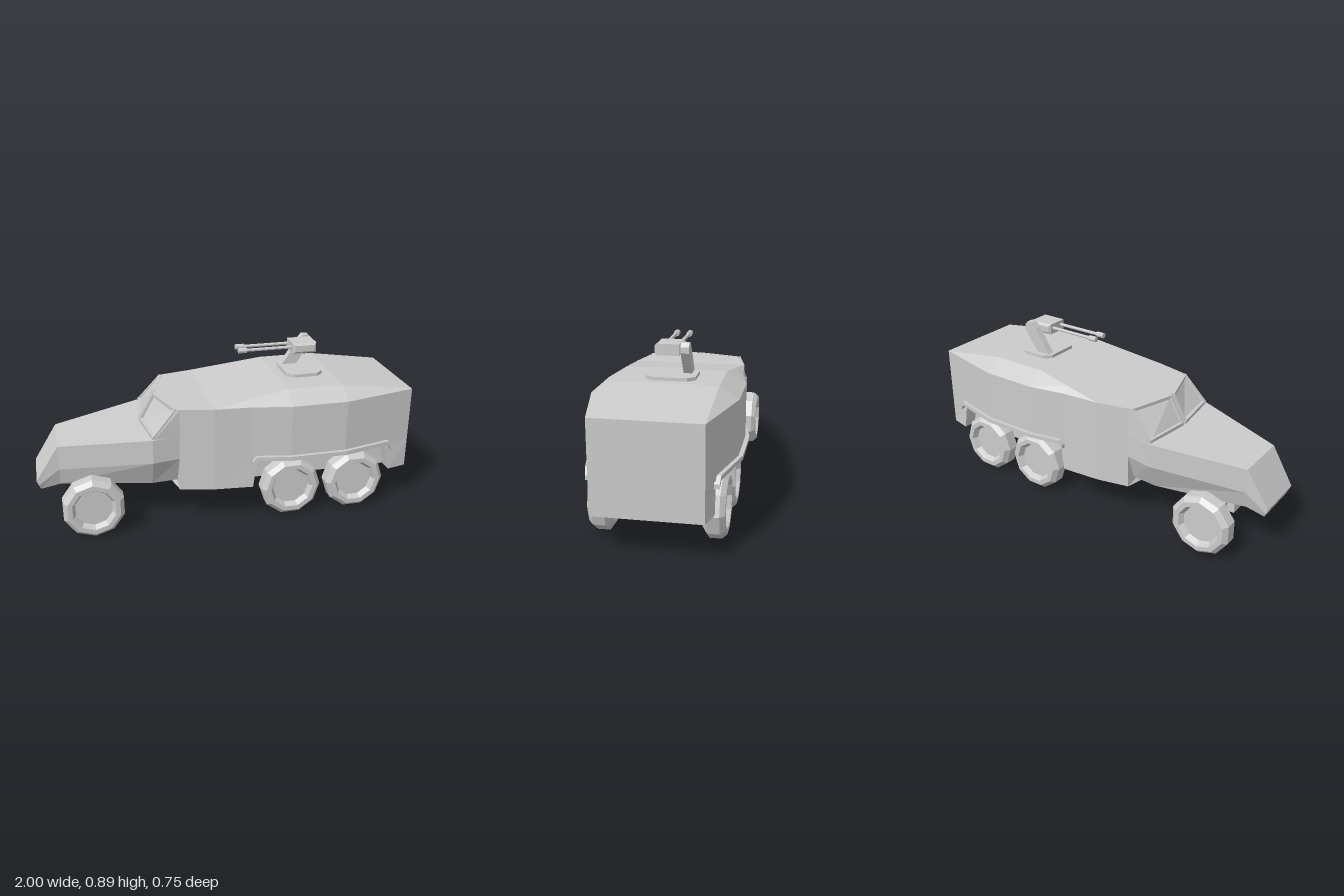
import * as THREE from 'three';

const mat = new THREE.MeshStandardMaterial({ color: 0xcccccc, flatShading: true, side: THREE.DoubleSide });

function add(parent, name, geo) {
  const m = new THREE.Mesh(geo, mat);
  m.name = name;
  parent.add(m);
  return m;
}

// Closes a half outline (centre to centre) by mirroring it across z = 0
const mirrorZ = half => [...half, ...half.slice(1, -1).reverse().map(([x, y, z]) => [x, y, -z])];

// Skin over equal-length rings of [x, y, z] points, capped at both ends
function loft(rings) {
  const n = rings[0].length, pos = rings.flat(2), idx = [];
  for (let r = 0; r < rings.length - 1; r++) {
    for (let i = 0; i < n; i++) {
      const a = r * n + i, b = r * n + (i + 1) % n;
      idx.push(a, b, b + n, a, b + n, a + n);
    }
  }
  [0, rings.length - 1].forEach((r, end) => {
    const c = pos.length / 3;
    for (let k = 0; k < 3; k++) pos.push(rings[r].reduce((s, p) => s + p[k], 0) / n);
    for (let i = 0; i < n; i++) {
      const a = r * n + i, b = r * n + (i + 1) % n;
      idx.push(...(end ? [c, a, b] : [c, b, a]));
    }
  });
  // Turn the skin outward if its volume is negative
  const P = i => new THREE.Vector3().fromArray(pos, i * 3);
  let vol = 0;
  for (let i = 0; i < idx.length; i += 3) vol += P(idx[i]).dot(P(idx[i + 1]).cross(P(idx[i + 2])));
  if (vol < 0) idx.reverse();
  const g = new THREE.BufferGeometry();
  g.setAttribute('position', new THREE.Float32BufferAttribute(pos, 3));
  g.setIndex(idx);
  g.computeVertexNormals();
  return g;
}

// Square bar between two points
function bar(parent, name, a, b, t) {
  const A = new THREE.Vector3(...a), B = new THREE.Vector3(...b);
  const m = add(parent, name, new THREE.BoxGeometry(t, t, A.distanceTo(B) + t * 0.6));
  m.position.copy(A).add(B).multiplyScalar(0.5);
  m.lookAt(B);
}

// Flat outline in x-y, given thickness along z
function plate(points, z0, depth, bevel = 0) {
  const s = new THREE.Shape(points.map(p => new THREE.Vector2(...p)));
  return new THREE.ExtrudeGeometry(s, {
    depth: depth - 2 * bevel, bevelEnabled: bevel > 0, bevelSize: bevel, bevelThickness: bevel, bevelOffset: -bevel, bevelSegments: 1
  }).translate(0, 0, z0 + bevel);
}

function addHull(g) {
  // x, half width, roof height, roof half width
  const stations = [
    [-0.27, 0.262, 0.655, 0.262], [-0.1, 0.3, 0.655, 0.3], [0.1, 0.317, 0.685, 0.28],
    [0.3, 0.355, 0.715, 0.26], [0.6, 0.355, 0.715, 0.26], [1, 0.26, 0.655, 0.26]
  ];
  add(g, 'upperHull', loft(stations.map(([x, w, y, rw], i) => {
    const low = i ? x : -0.33, high = i ? x : -0.355;
    return mirrorZ([[low, 0.36, 0], [x, 0.36, w], [x, 0.655, w], [x, y, rw], [high, y, 0]]);
  })));
  // Lower hull in front of, between and behind the rear wheel wells
  const low = (xb, xt, w, cx = xb) => mirrorZ([[cx, 0.2, 0], [xb, 0.2, w], [xt, 0.36, w], [cx === xb ? xt : cx, 0.36, 0]]);
  add(g, 'lowerHullFront', loft([low(-0.27, -0.27, 0.262, -0.33), low(-0.1, -0.1, 0.3), low(0.11, 0.13, 0.318)]));
  add(g, 'lowerHullRear', loft([low(0.89, 0.86, 0.286), low(1, 1, 0.26)]));
  add(g, 'lowerHullCentre', new THREE.BoxGeometry(0.8, 0.16, 0.42)).position.set(0.5, 0.28, 0);

  // Strip fenders above the wheel wells
  for (const s of [1, -1]) {
    const path = [[0.105, 0.335, 0.317], [0.125, 0.36, 0.321], [0.3, 0.36, 0.355], [0.6, 0.36, 0.355], [0.87, 0.36, 0.291], [0.89, 0.325, 0.287]];
    add(g, 'rearFender', loft(path.map(([x, y, w]) =>
      [[x, y, s * (w - 0.03)], [x, y, s * (w + 0.02)], [x, y + 0.022, s * (w + 0.02)], [x, y + 0.022, s * (w - 0.03)]])));
  }
}

function addHoodAndCab(g) {
  const section = (x, yb, wb, yc, wc, yt) =>
    mirrorZ([[x, yb, 0], [x, yb, wb], [x, yc, wc], [x, yt, wc], [x, yt, 0]]);
  add(g, 'hood', loft([
    mirrorZ([[-0.98, 0.22, 0], [-0.98, 0.22, 0.125], [-0.99, 0.245, 0.135], [-1, 0.27, 0.135], [-1, 0.27, 0]]),
    section(-0.88, 0.235, 0.12, 0.33, 0.145, 0.46),
    section(-0.41, 0.235, 0.22, 0.38, 0.285, 0.508),
    section(-0.27, 0.235, 0.21, 0.38, 0.262, 0.512)
  ]));
  add(g, 'cab', loft([
    mirrorZ([[-0.44, 0.5, 0], [-0.41, 0.5, 0.28], [-0.26, 0.5, 0.262], [-0.26, 0.5, 0]]),
    mirrorZ([[-0.355, 0.655, 0], [-0.28, 0.655, 0.26], [-0.26, 0.655, 0.262], [-0.26, 0.655, 0]])
  ]));
  // Raised frames around the two halves of the split windshield
  for (const s of [1, -1]) {
    const c = [[-0.434, 0.515, 0.012], [-0.402, 0.515, 0.268], [-0.285, 0.648, 0.25], [-0.358, 0.648, 0.012]]
      .map(([x, y, z]) => [x, y, s * z]);
    c.forEach((p, i) => bar(g, 'windshieldFrame', p, c[(i + 1) % 4], 0.018));
  }
}

function addRunningGear(g) {
  const profile = [[0, 0.215], [0.125, 0.215], [0.163, 0.24], [0.163, 0.3], [0.14, 0.324], [0.115, 0.324], [0.098, 0.295], [0, 0.295]]
    .map(p => new THREE.Vector2(...p));
  for (const x of [-0.725, 0.325, 0.685]) {
    const phase = x < 0 ? 0 : Math.PI / 10;
    for (const turn of [0, Math.PI]) {
      const wheel = add(g, x < 0 ? 'frontWheel' : 'rearWheel', new THREE.LatheGeometry(profile, 10, phase).rotateX(Math.PI / 2));
      wheel.position.set(x, 0.168, 0);
      wheel.rotation.y = turn;
    }
    add(g, 'axle', new THREE.CylinderGeometry(0.027, 0.027, 0.44, 6).rotateX(Math.PI / 2)).position.set(x, 0.17, 0);
  }
  add(g, 'frontDifferential', new THREE.BoxGeometry(0.13, 0.12, 0.125)).position.set(-0.725, 0.19, 0);
}

function addGun(g) {
  const gun = new THREE.Group();
  gun.name = 'roofGun';
  g.add(gun);
  // Chamfered base plate
  const base = [[0.385, -0.11], [0.515, -0.11], [0.55, -0.075], [0.55, 0.1], [0.515, 0.135], [0.385, 0.135], [0.35, 0.1], [0.35, -0.075]];
  add(gun, 'gunBase', plate(base, 0, 0.022).rotateX(-Math.PI / 2)).position.y = 0.71;
  // Slanted support arm
  add(gun, 'gunArm', plate([[0.37, 0.73], [0.45, 0.73], [0.53, 0.845], [0.53, 0.875], [0.515, 0.893], [0.485, 0.893], [0.46, 0.865]], -0.105, 0.04));
  // Receiver with its twin barrels
  add(gun, 'gunReceiver', plate([[0.39, 0.83], [0.52, 0.83], [0.52, 0.886], [0.39, 0.886]], -0.066, 0.13, 0.011));
  for (const z of [0.032, -0.035]) {
    add(gun, 'barrel', new THREE.CylinderGeometry(0.009, 0.009, 0.28, 8).rotateZ(Math.PI / 2)).position.set(0.26, 0.862, z);
    add(gun, 'muzzle', new THREE.CylinderGeometry(0.015, 0.015, 0.045, 8).rotateZ(Math.PI / 2)).position.set(0.118, 0.862, z);
  }
}

export function createModel() {
  const g = new THREE.Group();
  g.name = 'armouredTruck';
  addHull(g);
  addHoodAndCab(g);
  addRunningGear(g);
  addGun(g);
  return g;
}
